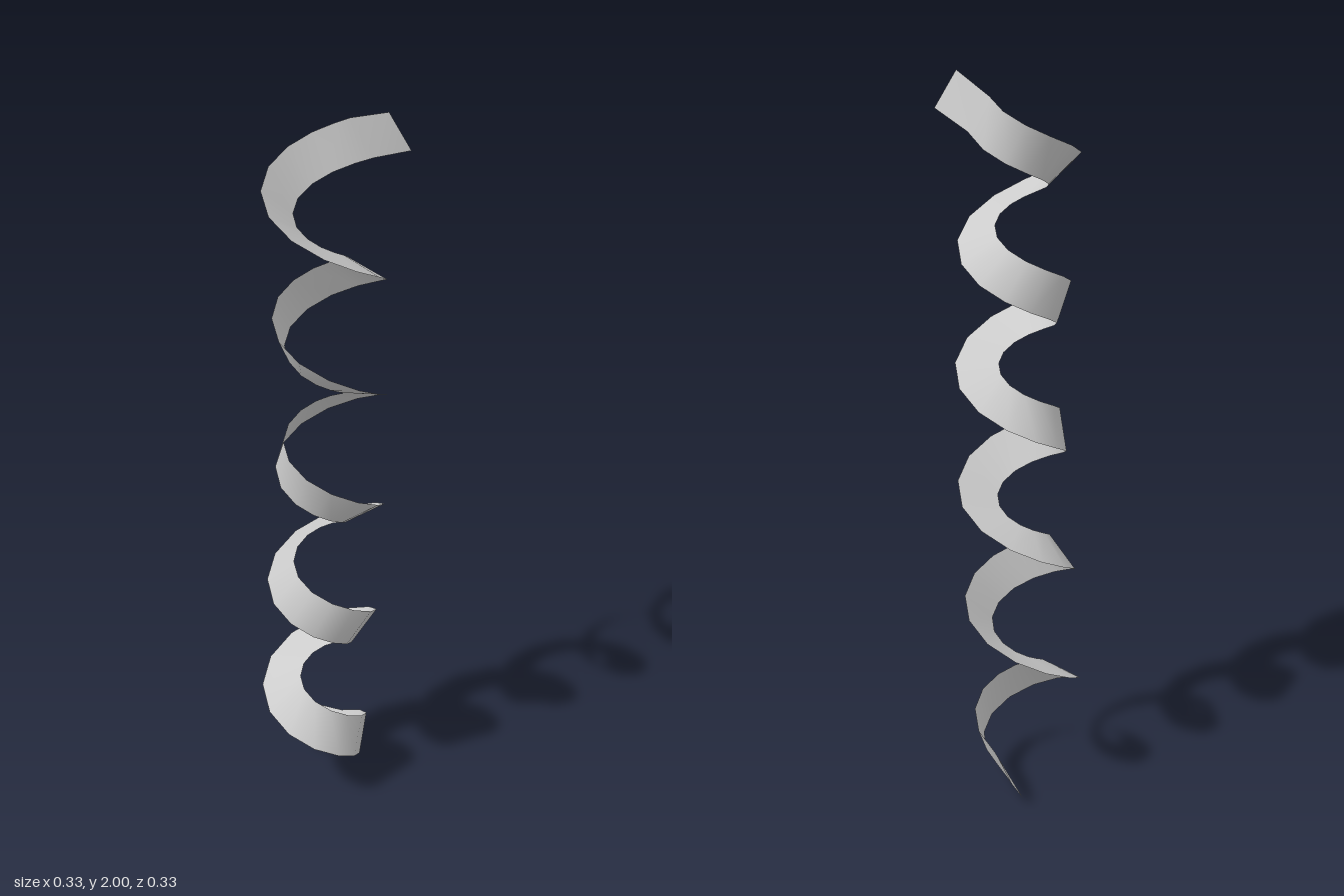
import * as THREE from 'three';

const RADIUS = 0.114, PITCH = 0.357, HALF_WIDTH = 0.058;
const STEPS = 61, STEP = Math.PI / 6, START = -Math.PI / 12; // twelve sections per turn
const rad = THREE.MathUtils.degToRad;

// Two edge points of the ribbon at step i: the strip rolls about its path as it climbs
function crossSection(i) {
  const phi = START + i * STEP;
  const roll = rad(55 + 775 * i / STEPS);
  const slope = Math.atan(PITCH / (2 * Math.PI * RADIUS));
  const radial = new THREE.Vector3(Math.cos(phi), 0, Math.sin(phi));
  const along = new THREE.Vector3(-Math.sin(phi), 0, Math.cos(phi));
  const across = new THREE.Vector3(0, Math.cos(slope), 0).addScaledVector(along, -Math.sin(slope));
  const centre = radial.clone().multiplyScalar(RADIUS);
  centre.y = 0.107 + PITCH * phi / (2 * Math.PI);
  const offset = radial.multiplyScalar(Math.cos(roll)).addScaledVector(across, Math.sin(roll))
    .multiplyScalar(HALF_WIDTH);
  return [centre.clone().add(offset), centre.clone().sub(offset)];
}

export function createModel() {
  // Straight lead-in, helix, straight lead-out
  const sections = [[new THREE.Vector3(0.16, 0.09, -0.162), new THREE.Vector3(0.09, 0, -0.125)]];
  for (let i = 0; i <= STEPS; i++) sections.push(crossSection(i));
  sections.push([new THREE.Vector3(0.105, 2, 0.125), new THREE.Vector3(0.145, 1.9, 0.165)]);

  const geometry = new THREE.BufferGeometry().setFromPoints(sections.flat());
  const index = [];
  for (let i = 0; i < sections.length - 1; i++) {
    const a = 2 * i;
    index.push(a, a + 1, a + 2, a + 1, a + 3, a + 2);
  }
  geometry.setIndex(index);
  geometry.computeVertexNormals();

  const ribbon = new THREE.Mesh(geometry,
    new THREE.MeshStandardMaterial({ color: 0xcccccc, side: THREE.DoubleSide }));
  ribbon.name = 'spiralRibbon';
  const group = new THREE.Group();
  group.name = 'twistedRibbon';
  group.add(ribbon);
  return group;
}
